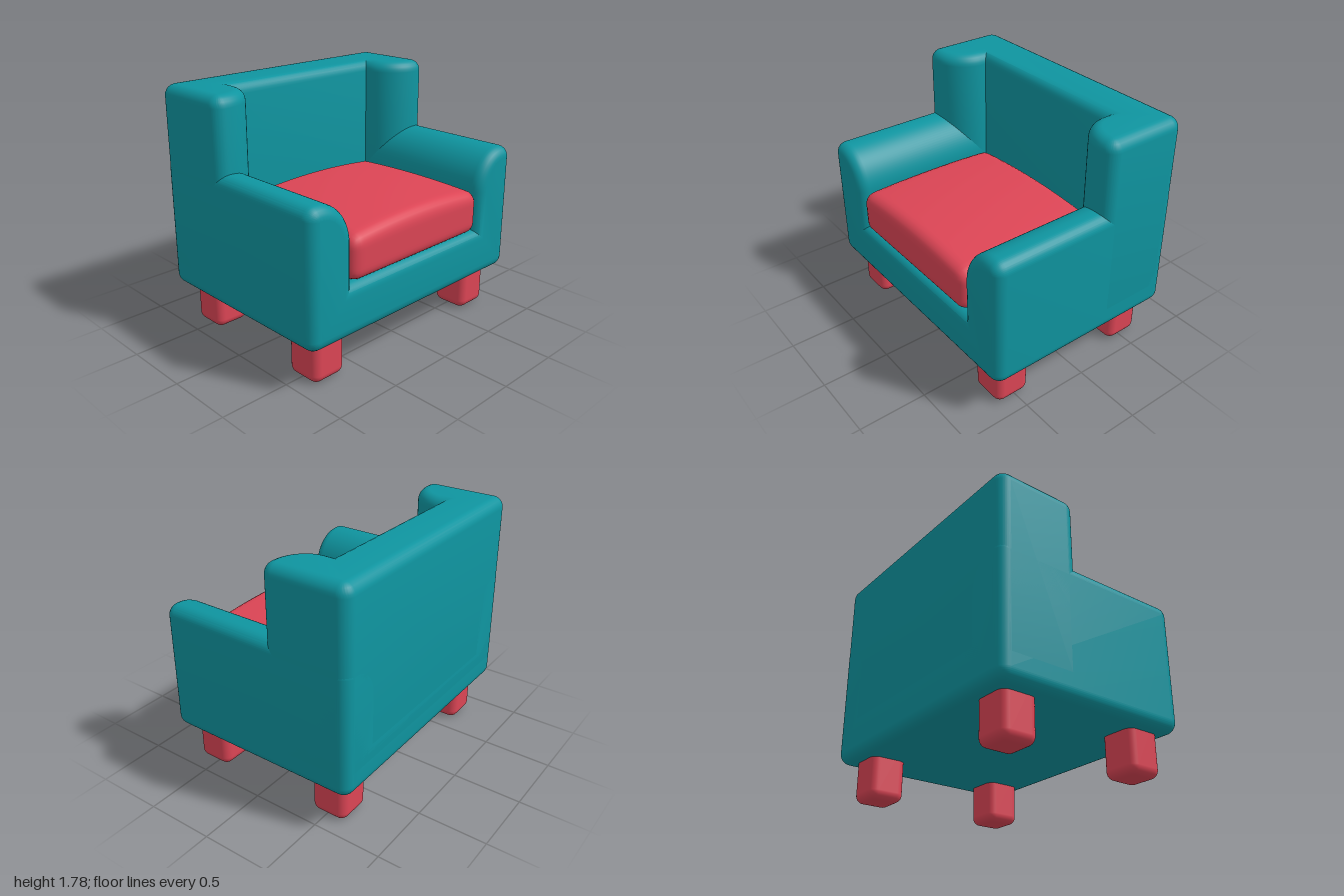
import * as THREE from 'three';
import { mergeVertices, toCreasedNormals } from 'three/addons/utils/BufferGeometryUtils.js';
import { RoundedBoxGeometry } from 'three/addons/geometries/RoundedBoxGeometry.js';

const BEVEL = 0.08;
const INNER = 0.635; // half width between the arms

// U outline: a crossbar from bottom to floor, with two prongs rounded on the inside
function uShape(bottom, floor, top, roundHeight) {
  const r = 0.085, cx = 0.9, rx = cx - INNER, cy = top - roundHeight;
  const s = new THREE.Shape();
  s.absarc(1 - r, bottom + r, r, -Math.PI / 2, 0, false);
  s.absarc(1 - r, top - r, r, 0, Math.PI / 2, false);
  s.absellipse(cx, cy, rx, roundHeight, Math.PI / 2, Math.PI, false);
  s.lineTo(INNER, floor);
  s.lineTo(-INNER, floor);
  s.absellipse(-cx, cy, rx, roundHeight, 0, Math.PI / 2, false);
  s.absarc(-1 + r, top - r, r, Math.PI / 2, Math.PI, false);
  s.absarc(-1 + r, bottom + r, r, Math.PI, Math.PI * 1.5, false);
  return s;
}

// Extrusion with rounded edges that keeps the outline's size, spanning z 0..length
function roundedExtrude(shape, length) {
  const g = new THREE.ExtrudeGeometry(shape, {
    depth: length - 2 * BEVEL, curveSegments: 12, bevelEnabled: true,
    bevelSize: BEVEL, bevelThickness: BEVEL, bevelOffset: -BEVEL, bevelSegments: 6,
  });
  g.translate(0, 0, BEVEL);
  return g;
}

// Soft box: rounded edges and a domed top
function cushionGeometry(w, h, d, r) {
  const g = new THREE.BoxGeometry(w, h, d, 36, 14, 36);
  g.deleteAttribute('normal');
  g.deleteAttribute('uv');
  const half = new THREE.Vector3(w / 2, h / 2, d / 2);
  const inner = half.clone().subScalar(r);
  const p = new THREE.Vector3(), c = new THREE.Vector3();
  const pos = g.attributes.position;
  for (let i = 0; i < pos.count; i++) {
    p.fromBufferAttribute(pos, i);
    c.copy(p).clamp(inner.clone().negate(), inner);
    p.sub(c).setLength(r).add(c);
    const lift = 0.04 * (1 - (p.x / half.x) ** 2) + 0.02 * (1 - (p.z / half.z) ** 2);
    p.y += lift * THREE.MathUtils.clamp(p.y / half.y, 0, 1);
    pos.setXYZ(i, p.x, p.y, p.z);
  }
  const merged = mergeVertices(g, 1e-5);
  merged.computeVertexNormals();
  return merged;
}

export function createModel() {
  const teal = new THREE.MeshStandardMaterial({ color: 0x0f95a0 });
  teal.name = 'teal upholstery';
  const red = new THREE.MeshStandardMaterial({ color: 0xdc4555 });
  red.name = 'red cushion';

  const model = new THREE.Group();
  model.name = 'armchair';
  const add = (name, geometry, material) => {
    const mesh = new THREE.Mesh(geometry, material);
    mesh.name = name;
    model.add(mesh);
    return mesh;
  };

  // Seat base and both arms, extruded from back to front
  const base = roundedExtrude(uShape(0.3, 0.67, 1.26, 0.3), 1.51);
  base.translate(0, 0, -0.755);
  add('baseAndArms', toCreasedNormals(base, 0.6), teal);

  // Backrest with its side wings, extruded downwards from the top
  const back = roundedExtrude(uShape(-0.755, -0.395, -0.115, 0.25), 1.38);
  back.rotateX(Math.PI / 2);
  back.translate(0, 1.78, 0);
  add('backrestAndWings', toCreasedNormals(back, 0.6), teal);

  // Seat cushion
  const cushion = add('seatCushion', cushionGeometry(2 * INNER, 0.31, 1.14, 0.08), red);
  cushion.position.set(0, 0.822, 0.178);

  // Four legs
  const legGeometry = new RoundedBoxGeometry(0.27, 0.42, 0.27, 5, 0.06);
  for (const x of [-0.752, 0.752]) {
    for (const z of [-0.517, 0.523]) {
      const name = (z > 0 ? 'front' : 'back') + (x > 0 ? 'Left' : 'Right') + 'Leg';
      add(name, legGeometry, red).position.set(x, 0.21, z);
    }
  }
  return model;
}
